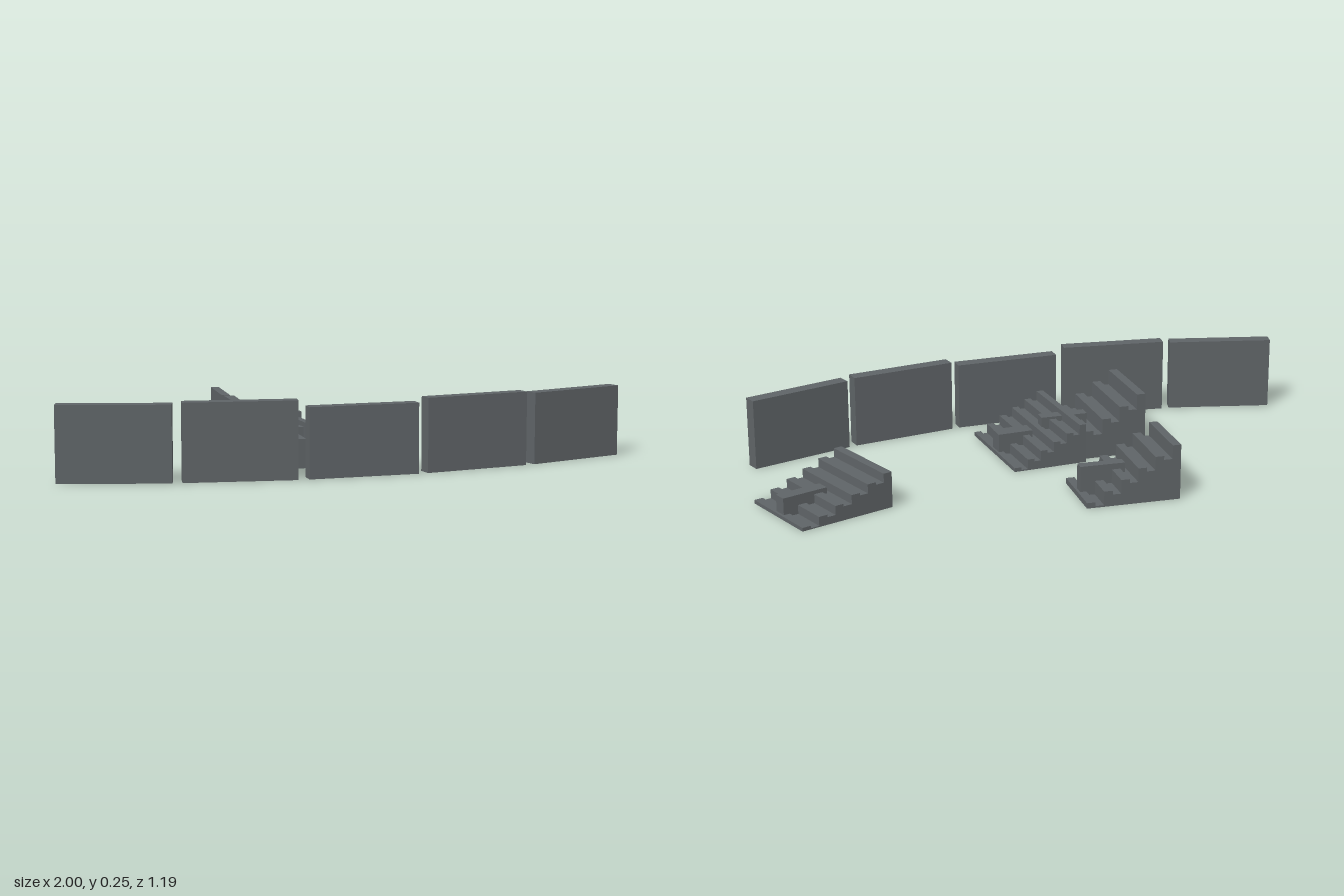
import * as THREE from 'three';

const concrete = new THREE.MeshStandardMaterial({ color: 0x5f6467 });
concrete.name = 'dark concrete';

// Side outline of a stand, one unit long and high: raised seat rows with a sunken footway between them
function standOutline(rows = 6) {
  const s = new THREE.Shape();
  const step = 1 / (rows * 2 - 1), rise = 0.18, dip = 0.07;
  s.moveTo(-0.5, 0);
  for (let i = 0; i < rows; i++) {
    const x = -0.5 + i * 2 * step, y = 1 - i * rise;
    s.lineTo(x, y);
    s.lineTo(x + step, y);
    if (i < rows - 1) {
      s.lineTo(x + step, y - rise - dip);
      s.lineTo(x + 2 * step, y - rise - dip);
    }
  }
  s.lineTo(0.5, 0);
  return s;
}

const tierGeometry = new THREE.ExtrudeGeometry(standOutline(), { depth: 1, bevelEnabled: false });
tierGeometry.translate(0, 0, -0.5);

// Stand falling along the direction (ux, uz), with an entrance block in the middle of its lower half
function makeStand(name, x, z, ux, uz, run, width, height) {
  const g = new THREE.Group();
  g.name = name;
  const tiers = new THREE.Mesh(tierGeometry, concrete);
  tiers.name = 'seatTiers';
  const entrance = new THREE.Mesh(new THREE.BoxGeometry(0.48, 0.56, 0.15), concrete);
  entrance.name = 'entranceBlock';
  entrance.position.set(0.235, 0.285, 0);
  g.add(tiers, entrance);
  g.scale.set(run, height, width);
  g.position.set(x, 0, z);
  g.rotation.y = -Math.atan2(uz, ux);
  return g;
}

// Straight wall panel between two ground points
function makeWall(name, x1, z1, x2, z2, height) {
  const dx = x2 - x1, dz = z2 - z1;
  const m = new THREE.Mesh(new THREE.BoxGeometry(Math.hypot(dx, dz), height, 0.047), concrete);
  m.name = name;
  m.position.set((x1 + x2) / 2, height / 2, (z1 + z2) / 2);
  m.rotation.y = -Math.atan2(dz, dx);
  return m;
}

export function createModel() {
  const model = new THREE.Group();
  model.name = 'curvedWallAndStands';

  // Curved row of wall panels: start x, z, end x, z, height
  [
    [-0.986, -0.149, -0.698, 0.075, 0.249],
    [-0.671, 0.088, -0.356, 0.275, 0.254],
    [-0.326, 0.288, 0.013, 0.427, 0.231],
    [0.042, 0.435, 0.398, 0.525, 0.245],
    [0.428, 0.53, 0.788, 0.569, 0.239],
  ].forEach((w, i) => model.add(makeWall('wallPanel' + (i + 1), ...w)));

  // Stands: centre x, z, downhill direction, run, width, height
  model.add(
    makeStand('backStand', 0.026, -0.422, 0.896, 0.443, 0.313, 0.232, 0.185),
    makeStand('rightStand', -0.19, -0.014, 0.91, 0.415, 0.34, 0.285, 0.211),
    makeStand('middleStand', -0.017, 0.078, 0.938, 0.346, 0.258, 0.387, 0.135),
    makeStand('leftStand', 0.818, 0.131, 0.997, 0.08, 0.332, 0.295, 0.12),
  );
  return model;
}
